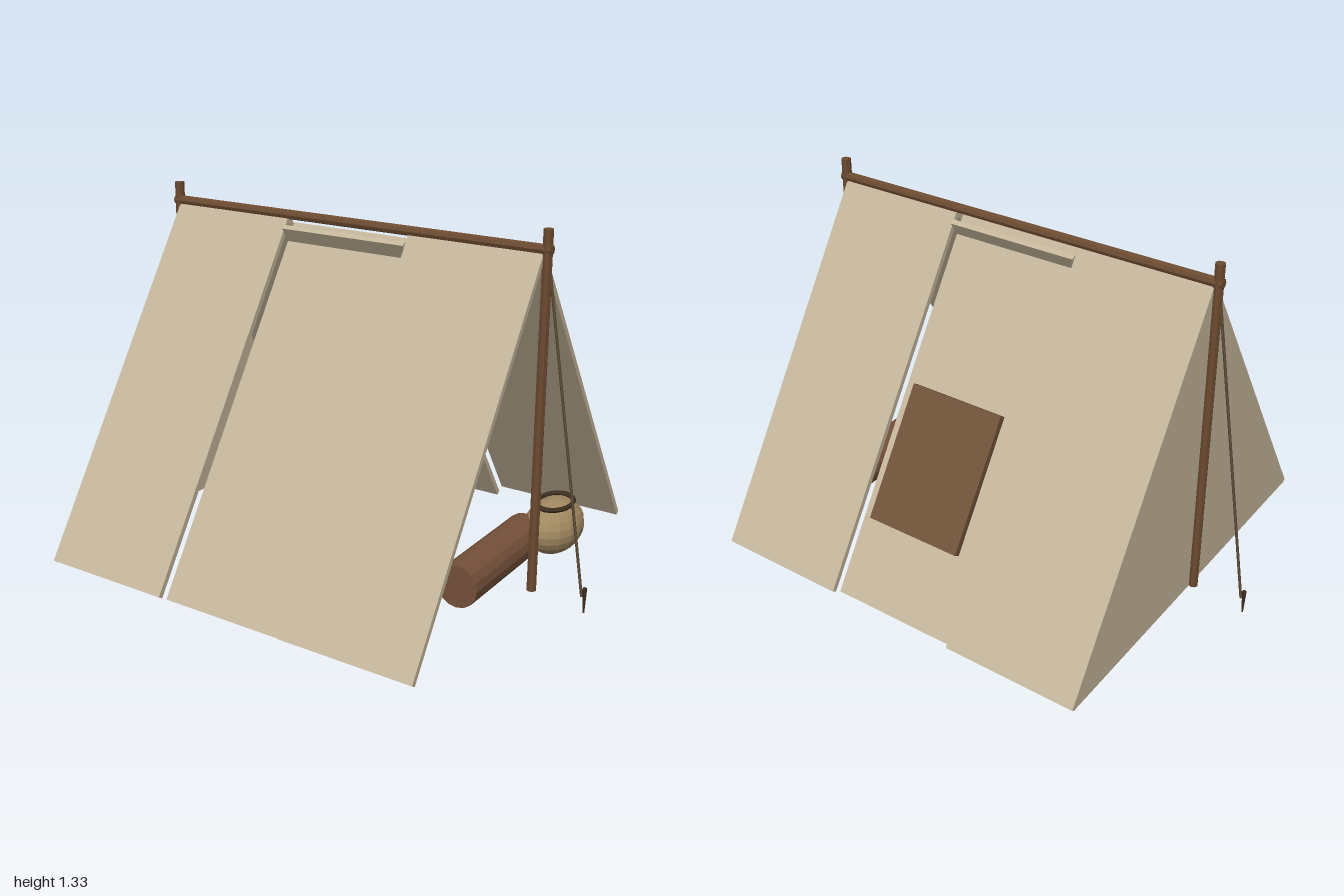
import * as THREE from 'three';

const mat = (color) => new THREE.MeshStandardMaterial({ color, flatShading: true });

export function createModel() {
  const tent = new THREE.Group();
  tent.name = 'tent';
  const canvas = mat(0xc4b59a), wood = mat(0x6b4a30), patchCloth = mat(0x6f5239);
  const bedding = mat(0x75503a), clay = mat(0xa08860), dark = mat(0x3d2e20), cord = mat(0x5a4a36);

  const add = (name, geometry, material, parent = tent) => {
    const mesh = new THREE.Mesh(geometry, material);
    mesh.name = name;
    parent.add(mesh);
    return mesh;
  };
  // Straight rod between two points
  const rod = (name, a, b, r, material, sides = 8, rEnd = r) => {
    const from = new THREE.Vector3(...a), to = new THREE.Vector3(...b);
    const dir = to.clone().sub(from);
    const mesh = add(name, new THREE.CylinderGeometry(rEnd, r, dir.length(), sides), material);
    mesh.position.copy(from).add(to).multiplyScalar(0.5);
    mesh.quaternion.setFromUnitVectors(new THREE.Vector3(0, 1, 0), dir.normalize());
    return mesh;
  };

  // Two roof slopes, each of three overlapping canvas strips, the middle one set inward
  const halfDepth = 0.79, base = 0.033, apex = 1.25;
  const rise = apex - base, slopeLength = Math.hypot(halfDepth, rise);
  for (const side of ['front', 'back']) {
    const slope = new THREE.Group();
    slope.name = side + 'Slope';
    slope.position.set(0, base + rise / 2, halfDepth / 2);
    slope.rotation.x = -Math.atan2(halfDepth, rise);
    for (const i of [-1, 0, 1]) {
      const strip = add('canvasStrip', new THREE.BoxGeometry(0.519, slopeLength, 0.02), canvas, slope);
      strip.position.set(i * 0.519, 0, i === 0 ? -0.045 : 0);
    }
    if (side === 'back') {
      const patch = add('patch', new THREE.BoxGeometry(0.385, 0.51, 0.025), patchCloth, slope);
      patch.position.set(-0.01, -0.165, 0.002);
    }
    const holder = new THREE.Group();
    holder.name = side + 'Roof';
    holder.rotation.y = side === 'back' ? Math.PI : 0;
    holder.add(slope);
    tent.add(holder);
  }

  // Closed triangular end
  const triangle = new THREE.Shape([
    new THREE.Vector2(-halfDepth, 0.03),
    new THREE.Vector2(halfDepth, 0.03),
    new THREE.Vector2(0, apex),
  ]);
  const endWall = add('endWall',
    new THREE.ExtrudeGeometry(triangle, { depth: 0.01, bevelEnabled: false }), canvas);
  endWall.rotation.y = Math.PI / 2;
  endWall.position.x = -0.778;

  // Ridge, uprights, guy ropes and stakes
  rod('ridgePole', [-0.805, 1.265, 0], [0.805, 1.265, 0], 0.018, wood);
  for (const s of [-1, 1]) {
    rod('uprightPole', [s * 0.788, 0.03, 0], [s * 0.788, 1.335, 0], 0.018, wood);
    rod('guyRope', [s * 0.795, 1.23, 0], [s * 0.98, 0.06, 0], 0.005, cord, 6);
    rod('stake', [s * 0.991, 0, 0], [s * 0.991, 0.095, 0], 0.003, dark, 6, 0.008);
  }

  // Rolled bedding lying across the open end
  rod('bedroll', [0.63, 0.11, 0.265], [0.63, 0.11, -0.26], 0.08, bedding, 16);

  // Oval pot with a dark rim
  const pot = new THREE.Group();
  pot.name = 'pot';
  pot.position.set(0.708, 0.135, -0.34);
  pot.scale.z = 1.42;
  add('potBody', new THREE.SphereGeometry(0.105, 16, 12), clay, pot);
  const rim = add('potRim', new THREE.TorusGeometry(0.063, 0.009, 6, 20), dark, pot);
  rim.rotation.x = Math.PI / 2;
  rim.position.y = 0.093;
  tent.add(pot);

  return tent;
}
